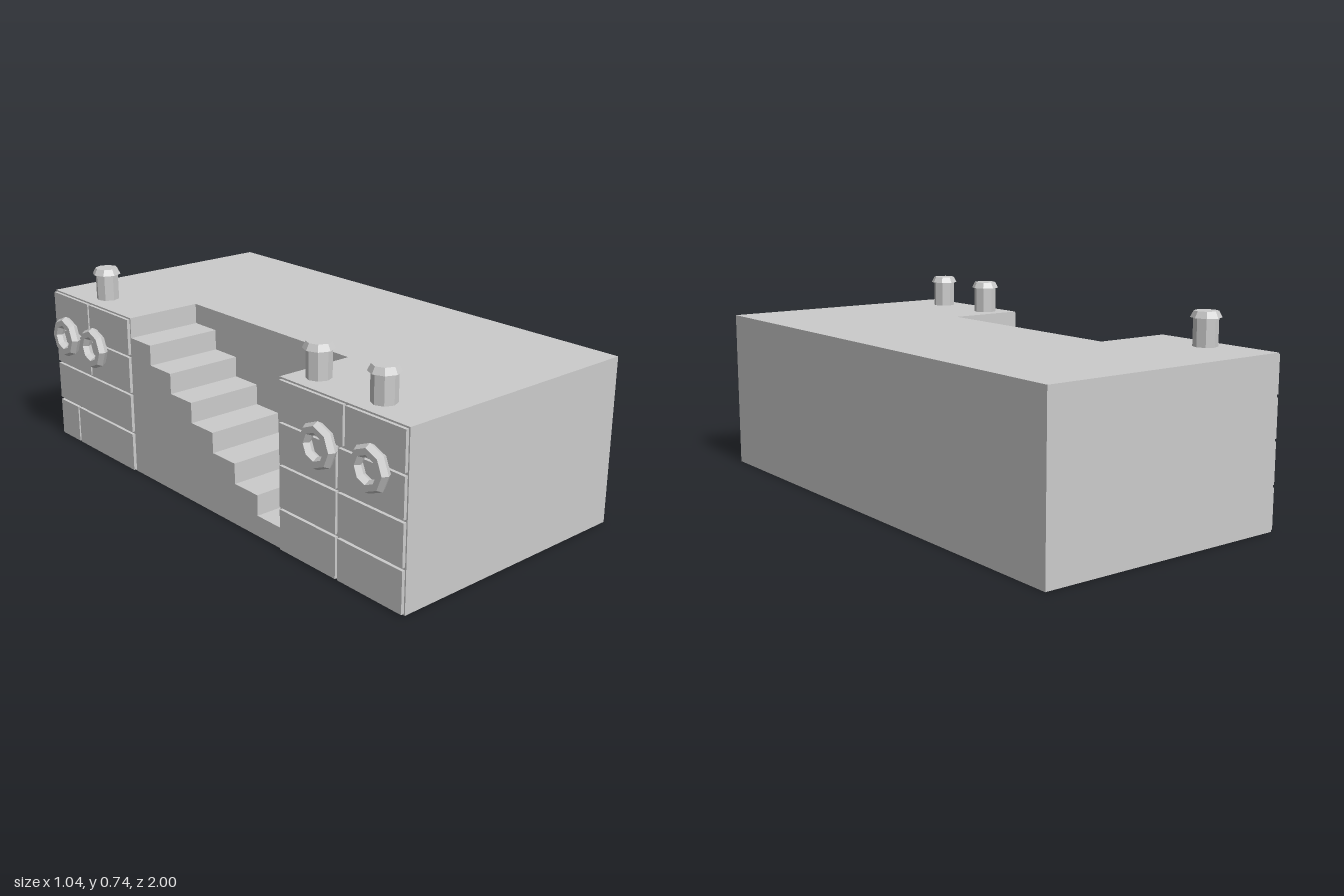
import * as THREE from 'three';

export function createModel() {
  const dock = new THREE.Group();
  dock.name = 'dock';
  const mat = new THREE.MeshStandardMaterial({ color: 0xcccccc, flatShading: true });
  const H = 0.617, WALL = -0.475, INNER = -0.175, BACK = 0.52;
  const Z0 = -0.46, Z1 = 0.41, STEPS = 7;

  function add(parent, name, geometry, x, y, z) {
    const mesh = new THREE.Mesh(geometry, mat);
    mesh.name = name;
    mesh.position.set(x, y, z);
    parent.add(mesh);
    return mesh;
  }

  // Solid rear part of the quay
  add(dock, 'quayBlock', new THREE.BoxGeometry(BACK - INNER, H, 2), (BACK + INNER) / 2, H / 2, 0);

  // Water side strip: two piers with a staircase descending towards +z
  const run = (Z1 - Z0) / STEPS, rise = H / (STEPS + 1);
  const profile = new THREE.Shape();
  profile.moveTo(-1, 0);
  profile.lineTo(1, 0);
  profile.lineTo(1, H);
  profile.lineTo(Z1, H);
  for (let i = 1; i <= STEPS; i++) {
    profile.lineTo(Z1 - (i - 1) * run, i * rise);
    profile.lineTo(Z1 - i * run, i * rise);
  }
  profile.lineTo(Z0, H);
  profile.lineTo(-1, H);
  const strip = new THREE.ExtrudeGeometry(profile, { depth: INNER - WALL, bevelEnabled: false });
  strip.rotateY(-Math.PI / 2);
  add(dock, 'piersAndStairs', strip, INNER, 0, 0);

  // Stone facing on both piers; each row lists the joints along z
  const rows = [[0.005, 0.153], [0.163, 0.312], [0.322, 0.463], [0.474, 0.611]];
  const joints = [
    [[-0.995, -0.86, -0.465], [0.42, 0.70, 0.995]],
    [[-0.995, -0.465], [0.42, 0.70, 0.995]],
    [[-0.995, -0.74, -0.465], [0.42, 0.70, 0.995]],
    [[-0.995, -0.74, -0.465], [0.42, 0.73, 0.995]],
  ];
  const stones = new THREE.Group();
  stones.name = 'stoneFacing';
  dock.add(stones);
  rows.forEach(([y0, y1], r) => {
    for (const cuts of joints[r]) {
      for (let i = 0; i < cuts.length - 1; i++) {
        const a = cuts[i] + (i > 0 ? 0.005 : 0);
        const b = cuts[i + 1] - (i < cuts.length - 2 ? 0.005 : 0);
        add(stones, 'stone', new THREE.BoxGeometry(0.016, y1 - y0, b - a), WALL - 0.004, (y0 + y1) / 2, (a + b) / 2);
      }
    }
  });

  // Tyre fenders
  const tyre = new THREE.TorusGeometry(0.06, 0.0225, 6, 8);
  tyre.rotateY(Math.PI / 2);
  for (const z of [-0.885, -0.685, 0.63, 0.865]) add(dock, 'tyreFender', tyre, -0.505, 0.452, z);

  // Mooring bollards: post with a tapered cap
  const post = new THREE.CylinderGeometry(0.044, 0.044, 0.1, 8);
  const cap = new THREE.CylinderGeometry(0.043, 0.055, 0.023, 8);
  for (const z of [-0.755, 0.5, 0.8]) {
    const bollard = new THREE.Group();
    bollard.name = 'bollard';
    bollard.position.set(-0.385, H, z);
    add(bollard, 'post', post, 0, 0.05, 0);
    add(bollard, 'cap', cap, 0, 0.1115, 0);
    dock.add(bollard);
  }
  return dock;
}
